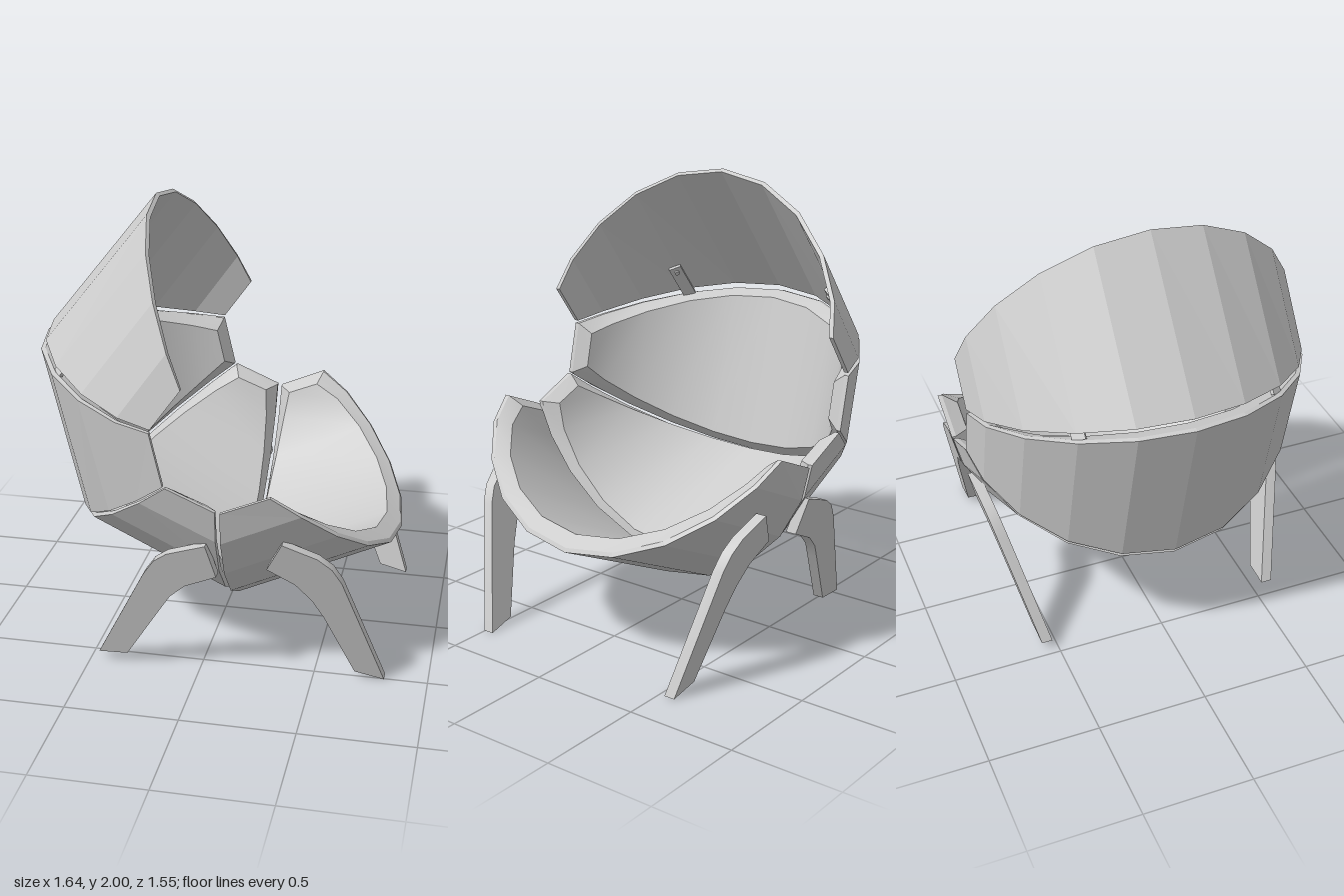
import * as THREE from 'three';
import { toCreasedNormals } from 'three/addons/utils/BufferGeometryUtils.js';

const HALF_WIDTH = 0.775, STEPS = 10;
const V = (x, y, z = 0) => new THREE.Vector3(x, y, z);

// Closed solid through a list of equal rings, wound outward by its signed volume
function loft(rings) {
  const tris = [], n = rings[0].length;
  for (let i = 0; i < rings.length - 1; i++) {
    for (let j = 0; j < n; j++) {
      const k = (j + 1) % n, a = rings[i], b = rings[i + 1];
      tris.push([a[j], b[j], b[k]], [a[j], b[k], a[k]]);
    }
  }
  const first = rings[0], last = rings[rings.length - 1];
  for (let j = 1; j < n - 1; j++) {
    tris.push([first[0], first[j], first[j + 1]], [last[0], last[j + 1], last[j]]);
  }
  const volume = tris.reduce((s, [a, b, c]) => s + a.dot(b.clone().cross(c)), 0);
  const points = tris.flatMap(([a, b, c]) => (volume < 0 ? [a, c, b] : [a, b, c]));
  const geo = new THREE.BufferGeometry().setFromPoints(points);
  geo.computeVertexNormals();
  return geo;
}

// An edge runs from the side point (t = 0) to the middle point (t = 1)
const edge = (side, mid, ex = 1.25, ey = 1.25) => (t, z) => V(
  side[0] + (mid[0] - side[0]) * t ** ex,
  side[1] + (mid[1] - side[1]) * t ** ey, z);

// Bent half-round panel between two edges, with an optional pad on its inside
function panel(name, edgeA, edgeB, thickness, padDepth) {
  const group = new THREE.Group();
  group.name = name;
  const along = edgeB(1, 0).sub(edgeA(1, 0)).normalize();
  const inward = V(-along.y, along.x);
  if (inward.dot(edgeA(0, 0).sub(edgeA(1, 0))) < 0) inward.negate();

  const shellRings = [], padRings = [];
  for (let i = 0; i <= STEPS; i++) {
    const angle = (i / STEPS) * Math.PI;
    const t = Math.max(0, Math.sin(angle)), c = Math.cos(angle);
    const a = edgeA(t, HALF_WIDTH * c), b = edgeB(t, HALF_WIDTH * c);
    const normal = inward.clone().multiplyScalar(t).add(V(0, 0, -c));
    const inset = (p, depth, shift, drop = 0) => p.clone()
      .addScaledVector(normal, depth)
      .addScaledVector(along, shift)
      .addScaledVector(inward, -drop * (1 - t));
    const aIn = inset(a, thickness, 0), bIn = inset(b, thickness, 0);
    shellRings.push([a, b, bIn, aIn]);
    padRings.push([aIn, bIn, inset(b, padDepth, -0.04, 0.03), inset(a, padDepth, 0.04, 0.03)]);
  }
  const shell = new THREE.Mesh(loft(shellRings),
    new THREE.MeshStandardMaterial({ color: 0xcccccc, flatShading: true }));
  shell.name = name + 'Shell';
  group.add(shell);
  if (padDepth) {
    const pad = new THREE.Mesh(toCreasedNormals(loft(padRings), 0.5),
      new THREE.MeshStandardMaterial({ color: 0xcccccc }));
    pad.name = name + 'Pad';
    group.add(pad);
  }
  return group;
}

// Flat bent leg, leaning outward towards its top
function leg(name, outline, zFoot, zTop) {
  const shape = new THREE.Shape(outline.map(([x, y]) => new THREE.Vector2(x, y)));
  const geo = new THREE.ExtrudeGeometry(shape, { depth: 0.05, bevelEnabled: false });
  const pos = geo.attributes.position;
  for (let i = 0; i < pos.count; i++) {
    const y = pos.getY(i);
    pos.setZ(i, pos.getZ(i) - 0.025 + zFoot + (zTop - zFoot) * y / 0.7);
  }
  const mesh = new THREE.Mesh(toCreasedNormals(geo, 0.6),
    new THREE.MeshStandardMaterial({ color: 0xcccccc }));
  mesh.name = name;
  return mesh;
}

export function createModel() {
  const model = new THREE.Group();
  model.name = 'shellChair';

  // Hood, backrest and the two halves of the seat bowl
  model.add(
    panel('hood',
      edge([-0.16, 1.21], [-0.80, 1.39], 1.25, 1.6),
      edge([-0.03, 1.39], [-0.31, 2.0]), 0.02, 0),
    panel('backrest',
      edge([-0.165, 1.195], [-0.825, 1.345], 1.25, 1.65),
      edge([-0.11, 0.96], [-0.64, 0.57]), 0.02, 0.085),
    panel('rearSeat',
      edge([-0.10, 0.955], [-0.625, 0.545]),
      edge([0.11, 0.865], [0.085, 0.20]), 0.02, 0.085),
    panel('frontSeat',
      edge([0.13, 0.86], [0.11, 0.18]),
      edge([0.34, 0.95], [0.82, 0.51], 1.15, 1.35), 0.02, 0.085));

  // Legs
  const rear = [[-0.46, 0.04], [-0.33, 0.045], [-0.16, 0.32], [-0.11, 0.40], [-0.04, 0.465],
    [0.10, 0.53], [0.06, 0.69], [-0.11, 0.63], [-0.17, 0.585], [-0.22, 0.51]];
  const front = [[0.81, 0], [0.68, 0.03], [0.55, 0.33], [0.50, 0.42], [0.43, 0.50],
    [0.31, 0.57], [0.38, 0.71], [0.53, 0.65], [0.59, 0.60], [0.63, 0.53]];
  model.add(
    leg('frontLegLeft', front, 0.48, 0.68),
    leg('frontLegRight', front, -0.55, -0.70),
    leg('rearLegLeft', rear, 0.55, 0.72),
    leg('rearLegRight', rear, -0.54, -0.71));

  // Small plates that join the hood to the backrest
  for (const side of [1, -1]) {
    const bracket = new THREE.Group();
    bracket.name = side > 0 ? 'bracketLeft' : 'bracketRight';
    const mat = new THREE.MeshStandardMaterial({ color: 0xcccccc });
    const plate = new THREE.Mesh(new THREE.BoxGeometry(0.015, 0.2, 0.06), mat);
    plate.name = 'bracketPlate';
    const bolt = new THREE.Mesh(new THREE.CylinderGeometry(0.012, 0.012, 0.02, 10), mat);
    bolt.name = 'bracketBolt';
    bolt.rotation.z = Math.PI / 2;
    bolt.position.set(0.006, 0.07, 0);
    bracket.add(plate, bolt);
    bracket.position.set(-0.585, 1.375, side * 0.44);
    bracket.rotation.set(0, side * 0.63, -0.68, 'ZYX');
    model.add(bracket);
  }
  return model;
}
